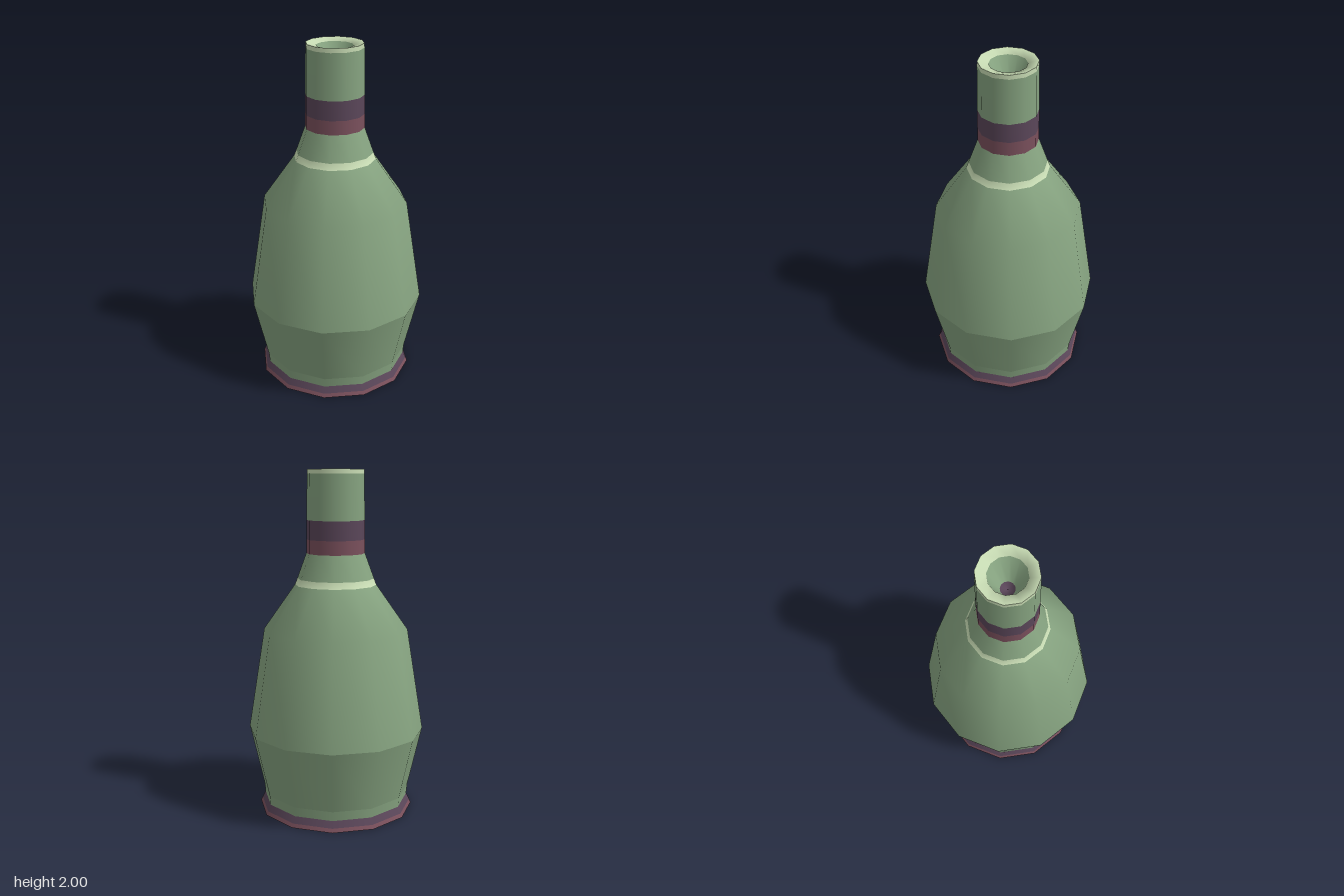
import * as THREE from 'three';

const SIDES = 12;
const material = (name, color) => {
  const m = new THREE.MeshStandardMaterial({ color });
  m.name = name;
  return m;
};

export function createModel() {
  const green = material('sage green', 0x86a380);
  const cream = material('pale cream green', 0xc8dcb4);
  const purple = material('dusky purple', 0x5a4659);
  const mauve = material('muted mauve', 0x7a505c);
  const bottle = new THREE.Group();
  bottle.name = 'bottle';

  // Turns one smooth section, then splits it into coloured bands that share its normals.
  // Each band is [name, material, number of profile steps].
  function section(points, bands) {
    const profile = points.map(([r, y]) => new THREE.Vector2(r, y));
    const lathe = new THREE.LatheGeometry(profile, SIDES);
    const steps = points.length - 1;
    const all = Array.from(lathe.index.array);
    let first = 0;
    for (const [name, mat, count] of bands) {
      const last = first + count;
      const start = first;
      const geometry = lathe.clone();
      geometry.setIndex(all.filter((_, i) => {
        const step = Math.floor(i / 6) % steps;
        return step >= start && step < last;
      }));
      const mesh = new THREE.Mesh(geometry, mat);
      mesh.name = name;
      bottle.add(mesh);
      first = last;
    }
  }

  // Underside and flared foot
  section([[0, 0], [0.46, 0]], [['underside', purple, 1]]);
  section([[0.46, 0], [0.45, 0.022], [0.432, 0.06]],
    [['footEdge', mauve, 1], ['footBand', purple, 1]]);
  section([[0.432, 0.06], [0.437, 0.115]], [['footCollar', green, 1]]);

  // Lower body tapering out to the widest ring
  section([[0.437, 0.115], [0.52, 0.48]], [['lowerBody', green, 1]]);

  // Upper body, shoulder and its pale stripe
  section([[0.52, 0.48], [0.422, 1.08], [0.237, 1.343], [0.223, 1.38], [0.17, 1.525]],
    [['upperBody', green, 2], ['shoulderStripe', cream, 1], ['neckBase', green, 1]]);

  // Neck with two wrapped bands and a pale lip
  section([[0.17, 1.525], [0.169, 1.605], [0.168, 1.715], [0.163, 1.975], [0.162, 2]],
    [['lowerNeckBand', mauve, 1], ['upperNeckBand', purple, 1],
      ['neck', green, 1], ['lipEdge', cream, 1]]);

  // Rim and hollow mouth
  section([[0.162, 2], [0.104, 1.985], [0.04, 1.83], [0, 1.82]],
    [['rim', cream, 1], ['mouthWall', green, 1], ['mouthFloor', purple, 1]]);

  return bottle;
}
